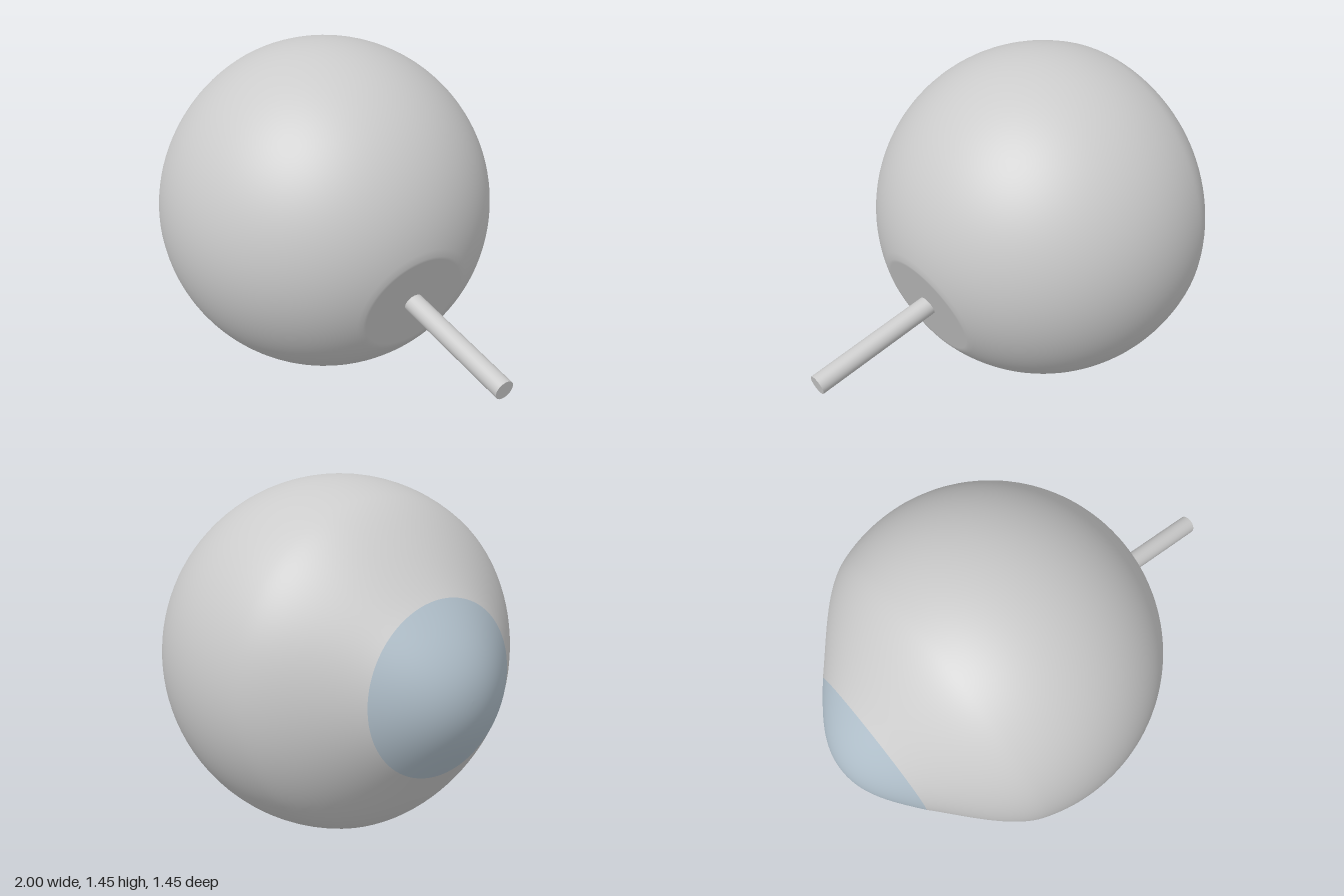
import * as THREE from 'three';

const R = 0.727;                               // globe radius
const TILT = THREE.MathUtils.degToRad(19.7);   // how far the rear flat leans down
const HALF = TILT;                             // half-angle of the rear flat
const V = (x, y) => new THREE.Vector2(x, y);

// Lathe whose axis runs along +x
function turned(points) {
  return new THREE.LatheGeometry(points, 96).rotateZ(-Math.PI / 2);
}

// Turn the rear rings progressively downward so the flat sits low on the back
function tiltRear(geometry) {
  const axis = new THREE.Vector3(0, 0, 1);
  const p = new THREE.Vector3();
  const n = new THREE.Vector3();
  const { position, normal } = geometry.attributes;
  for (let i = 0; i < position.count; i++) {
    p.fromBufferAttribute(position, i);
    if (p.x <= 0) continue;
    const polar = Math.acos(Math.min(1, p.x / p.length()));
    const f = Math.min(1, (Math.PI / 2 - polar) / (Math.PI / 2 - HALF));
    p.applyAxisAngle(axis, -TILT * f);
    n.fromBufferAttribute(normal, i).applyAxisAngle(axis, -TILT * f);
    position.setXYZ(i, p.x, p.y, p.z);
    normal.setXYZ(i, n.x, n.y, n.z);
  }
  return geometry;
}

function addMesh(group, name, geometry, color) {
  const material = new THREE.MeshStandardMaterial({ color });
  const mesh = new THREE.Mesh(geometry, material);
  mesh.name = name;
  group.add(mesh);
  return mesh;
}

export function createModel() {
  const model = new THREE.Group();
  model.name = 'eyeball';

  // Eye body, turned around x and centred on the globe
  const eye = new THREE.Group();
  eye.name = 'eye';
  eye.position.set(-0.21, R, 0);
  model.add(eye);

  // Clear bulge at the front of the eye
  const corneaCurve = new THREE.CubicBezierCurve(
    V(0, -0.79), V(0.13, -0.79), V(0.225, -0.715), V(0.345, -0.62));
  addMesh(eye, 'cornea', turned(corneaCurve.getPoints(24)), 0xb0bfca);

  // Globe: tapered shoulder, sphere, then the flat at the back
  const shoulder = new THREE.CubicBezierCurve(
    V(0.345, -0.62), V(0.465, -0.51), V(0.629, -0.39), V(0.679, -0.26));
  const profile = shoulder.getPoints(20);
  const start = Math.atan2(0.679, -0.26);
  const rings = 48;
  for (let i = 1; i <= rings; i++) {
    const a = THREE.MathUtils.lerp(start, HALF, i / rings);
    profile.push(V(R * Math.sin(a), R * Math.cos(a)));
  }
  const flatR = R * Math.sin(HALF);
  for (const k of [0.94, 0.5, 0]) profile.push(V(flatR * k, R * Math.cos(HALF)));
  addMesh(eye, 'globe', tiltRear(turned(profile)), 0xcccccc);

  // Nerve stalk leaving the flat, sloping down
  const from = new THREE.Vector3(0.38, 0.512, 0);
  const to = new THREE.Vector3(0.99, 0.37, 0);
  const along = to.clone().sub(from);
  const stalk = addMesh(model, 'opticNerve',
    new THREE.CylinderGeometry(0.042, 0.042, along.length(), 32), 0xcccccc);
  stalk.position.copy(from).add(to).multiplyScalar(0.5);
  stalk.quaternion.setFromUnitVectors(new THREE.Vector3(0, 1, 0), along.normalize());

  return model;
}
